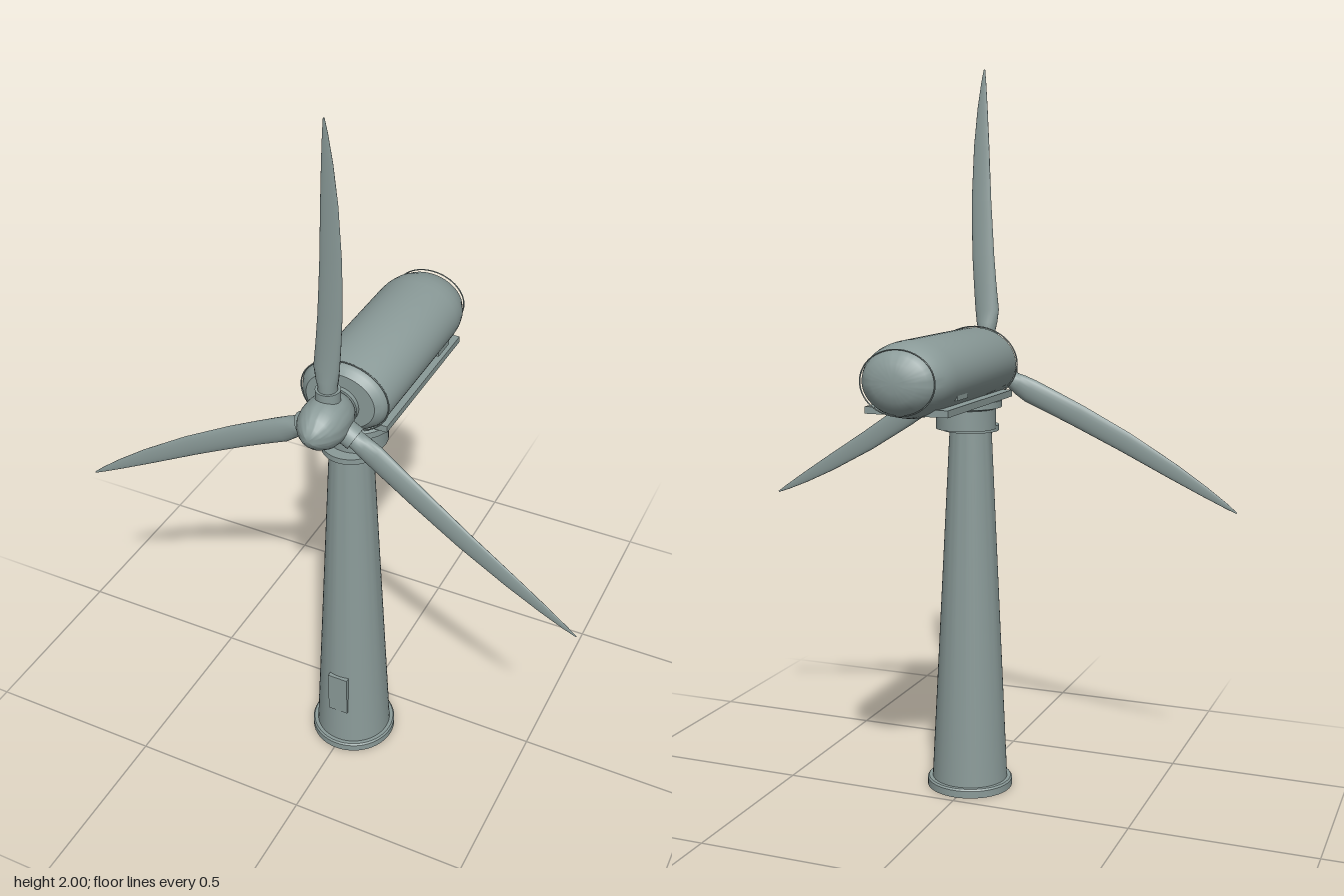
import * as THREE from 'three';
import { toCreasedNormals } from 'three/addons/utils/BufferGeometryUtils.js';

const CX = 0.005;      // shared centre line
const AXIS_Y = 1.193;  // rotor axis height
const paint = new THREE.MeshStandardMaterial({ color: 0x8a9a98 });
paint.name = 'grey green paint';

export function createModel() {
  const model = new THREE.Group();
  model.name = 'windTurbine';

  function add(name, geometry, x, y, z, parent = model) {
    const mesh = new THREE.Mesh(geometry, paint);
    mesh.name = name;
    mesh.position.set(x, y, z);
    parent.add(mesh);
    return mesh;
  }
  // profile is a list of [radius, height], from bottom to top
  const lathe = (profile, sides = 48) => toCreasedNormals(
    new THREE.LatheGeometry(profile.map(([r, h]) => new THREE.Vector2(r, h)), sides), 0.6);

  // Tower with foot and head flanges
  const TZ = 0.143;
  add('tower', lathe([
    [0, 0], [0.12, 0], [0.12, 0.02], [0.116, 0.025], [0.106, 0.025],
    [0.058, 1.02], [0.078, 1.02], [0.078, 1.036], [0, 1.036],
  ]), CX, 0, TZ);
  add('door', new THREE.BoxGeometry(0.058, 0.13, 0.03), CX, 0.205, 0.231);

  // Yaw bearing under the nacelle
  add('yawBearing', lathe([
    [0, 1.03], [0.082, 1.03], [0.082, 1.085], [0.098, 1.09],
    [0.098, 1.108], [0.085, 1.115], [0, 1.115],
  ]), CX, 0, 0.108);

  // Nacelle: rounded capsule, slightly wider than high
  const nacelle = new THREE.Group();
  nacelle.name = 'nacelle';
  nacelle.position.set(CX, 1.202, 0);
  model.add(nacelle);
  const shell = lathe([
    [0, -0.38], [0.03, -0.379], [0.06, -0.373], [0.083, -0.36], [0.1, -0.341],
    [0.113, -0.312], [0.119, -0.285], [0.121, -0.255], [0.121, 0.172],
    [0.112, 0.19], [0.095, 0.203], [0, 0.203],
  ], 64);
  shell.rotateX(Math.PI / 2);
  shell.scale(1, 0.81, 1);
  add('nacelleShell', shell, 0, 0, 0, nacelle);

  // Fine seam rings at the front and back of the shell
  for (const [name, r, z] of [['frontSeam', 0.122, 0.178], ['rearSeam', 0.1, -0.352]]) {
    const ring = new THREE.TorusGeometry(r, 0.002, 6, 64);
    ring.scale(1, 0.82, 1);
    add(name, ring, 0, 0, z, nacelle);
  }

  // Floor plate and side vents
  add('floorPlate', new THREE.BoxGeometry(0.224, 0.018, 0.465), 0, -0.078, -0.067, nacelle);
  for (const s of [-1, 1]) {
    add('sideVent', new THREE.BoxGeometry(0.012, 0.014, 0.07), s * 0.104, -0.046, -0.195, nacelle);
  }

  // Rotor: spinner, neck and three blades
  const rotor = new THREE.Group();
  rotor.name = 'rotor';
  rotor.position.set(CX, AXIS_Y, 0);
  model.add(rotor);
  const neck = lathe([[0, 0.19], [0.052, 0.19], [0.052, 0.215], [0, 0.215]]);
  neck.rotateX(Math.PI / 2);
  add('neck', neck, 0, 0, 0, rotor);
  const spinner = lathe([
    [0, 0.21], [0.042, 0.21], [0.052, 0.222], [0.06, 0.242], [0.064, 0.268],
    [0.064, 0.295], [0.059, 0.322], [0.046, 0.346], [0.03, 0.363], [0.015, 0.374], [0, 0.378],
  ]);
  spinner.rotateX(Math.PI / 2);
  add('spinner', spinner, 0, 0, 0, rotor);

  const bladeGeometry = makeBlade();
  const collarGeometry = new THREE.CylinderGeometry(0.032, 0.032, 0.037, 32);
  for (let i = 0; i < 3; i++) {
    const arm = new THREE.Group();
    arm.name = 'bladeArm';
    arm.rotation.z = -i * Math.PI * 2 / 3;
    rotor.add(arm);
    add('bladeCollar', collarGeometry, 0, 0.066, 0.266, arm);
    add('blade', bladeGeometry, 0, 0, 0, arm);
  }
  return model;
}

// Blade lofted from oval sections: [radius, left edge, right edge, thickness, z]
function makeBlade() {
  const sections = [
    [0.05, -0.025, 0.025, 0.05, 0.266], [0.095, -0.025, 0.025, 0.05, 0.267],
    [0.115, -0.03, 0.03, 0.043, 0.269], [0.15, -0.034, 0.035, 0.036, 0.271],
    [0.22, -0.026, 0.041, 0.029, 0.273], [0.3, -0.018, 0.047, 0.023, 0.276],
    [0.45, -0.006, 0.052, 0.016, 0.283], [0.6, 0.003, 0.048, 0.01, 0.29],
    [0.7, 0.01, 0.04, 0.007, 0.295], [0.77, 0.016, 0.031, 0.004, 0.299],
    [0.807, 0.02, 0.024, 0.002, 0.301],
  ];
  const sides = 20;
  const positions = [];
  const indices = [];
  sections.forEach(([r, left, right, thick, z], k) => {
    for (let j = 0; j < sides; j++) {
      const a = j / sides * Math.PI * 2;
      positions.push((left + right) / 2 + Math.cos(a) * (right - left) / 2, r,
        z + Math.sin(a) * thick / 2);
      if (k === 0) continue;
      const n = (j + 1) % sides;
      const a0 = (k - 1) * sides + j, b0 = (k - 1) * sides + n;
      const a1 = k * sides + j, b1 = k * sides + n;
      indices.push(a0, a1, b0, b0, a1, b1);
    }
  });
  // Tip cap
  const last = (sections.length - 1) * sides;
  for (let j = 1; j < sides - 1; j++) indices.push(last, last + j + 1, last + j);
  const geometry = new THREE.BufferGeometry();
  geometry.setAttribute('position', new THREE.Float32BufferAttribute(positions, 3));
  geometry.setIndex(indices);
  geometry.computeVertexNormals();
  return geometry;
}
